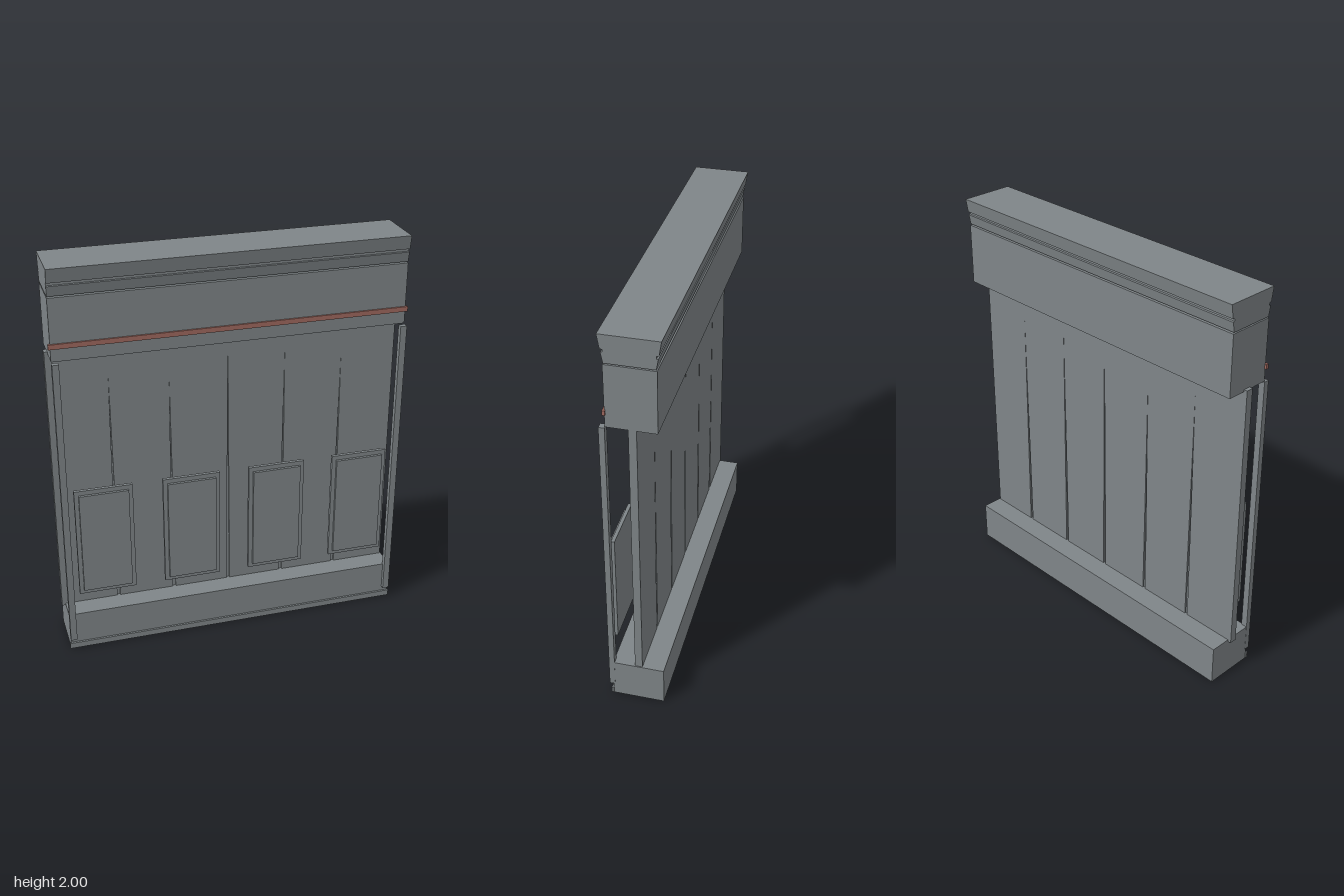
import * as THREE from 'three';

export function createModel() {
  const group = new THREE.Group();
  const stone = new THREE.MeshStandardMaterial({ color: 0x7f8588, side: THREE.DoubleSide });
  stone.name = 'grey stone';
  const clay = new THREE.MeshStandardMaterial({ color: 0xa0695f });
  clay.name = 'clay red';

  const add = (name, geometry, material = stone) => {
    const mesh = new THREE.Mesh(geometry, material);
    mesh.name = name;
    group.add(mesh);
    return mesh;
  };
  // Box given by its limits on each axis
  const box = (name, [x0, x1], [y0, y1], [z0, z1], material) => {
    const mesh = add(name, new THREE.BoxGeometry(x1 - x0, y1 - y0, z1 - z0), material);
    mesh.position.set((x0 + x1) / 2, (y0 + y1) / 2, (z0 + z1) / 2);
    return mesh;
  };
  const shape = (points) => new THREE.Shape(points.map(([x, y]) => new THREE.Vector2(x, y)));

  // Base: a box open underneath (bottom face group dropped), with a low lip in front
  const base = box('base', [-0.85, 0.855], [0, 0.2], [-0.13, 0.118]);
  const faces = Array.from(base.geometry.index.array);
  base.geometry.setIndex([...faces.slice(0, 18), ...faces.slice(24)]);
  base.geometry.clearGroups();
  box('baseLip', [-0.855, 0.86], [0.005, 0.035], [0.117, 0.128]);

  // Wall: six upright boards parted by wedge-shaped cracks over a thin core
  const cracks = [[-0.578, 1.44], [-0.288, 1.38], [0, 1.53], [0.285, 1.47], [0.575, 1.41]];
  const bottom = 0.19, top = 1.57;
  box('wallCore', [-0.86, 0.845], [bottom, top], [-0.016, 0.002]);
  for (let i = 0; i <= cracks.length; i++) {
    const left = cracks[i - 1], right = cracks[i];
    const points = left
      ? [[left[0], top], [left[0], left[1]], [left[0] + 0.01, bottom]]
      : [[-0.867, top], [-0.867, bottom]];
    if (right) points.push([right[0] - 0.006, bottom], [right[0], right[1]], [right[0], top]);
    else points.push([0.85, bottom], [0.85, top]);
    const board = new THREE.ExtrudeGeometry(shape(points), { depth: 0.036, bevelEnabled: false });
    add('wallBoard', board.translate(0, 0, -0.025));
  }

  // Slim posts in front of both ends
  for (const x of [-0.835, 0.84])
    box('post', [x - 0.016, x + 0.016], [0.06, 1.555], [0.111, 0.138]);

  // Framed plaques standing in front of the wall
  for (const x of [-0.647, -0.215, 0.217, 0.65]) {
    box('plaqueFrame', [x - 0.142, x + 0.142], [0.32, 0.893], [0.108, 0.125]);
    box('plaquePanel', [x - 0.121, x + 0.121], [0.343, 0.87], [0.12, 0.138]);
  }

  // Frieze with its red band
  box('frieze', [-0.85, 0.853], [1.56, 1.862], [-0.117, 0.11]);
  box('friezeBand', [-0.86, 0.863], [1.622, 1.646], [0.105, 0.118], clay);

  // Cornice: flared profile (z, y) with a narrow groove, swept along x
  const half = [[0.11, 1.868], [0.119, 1.917], [0.111, 1.919], [0.111, 1.931], [0.122, 1.933], [0.133, 2]];
  const profile = [...half, ...half.map(([z, y]) => [-z, y]).reverse()];
  const cornice = new THREE.ExtrudeGeometry(shape(profile), { depth: 1.703, bevelEnabled: false });
  cornice.rotateY(Math.PI / 2).translate(-0.85, 0, -0.003);
  add('cornice', cornice);

  return group;
}
